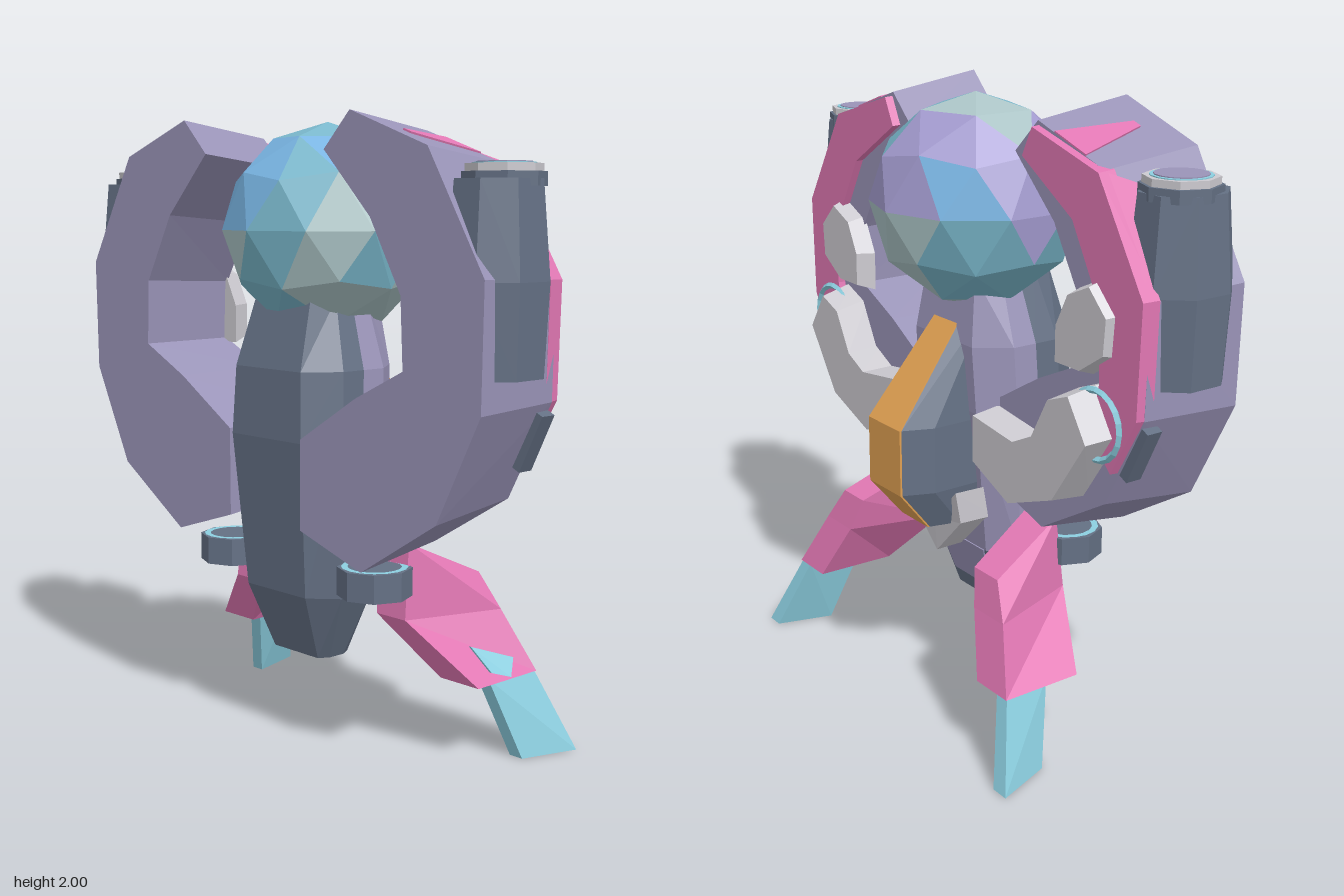
import * as THREE from 'three';

const mat = (name, color, side = THREE.FrontSide) => {
  const m = new THREE.MeshStandardMaterial({ color, flatShading: true, side });
  m.name = name;
  return m;
};

// Flat-faced solid through convex rings of [x, y, z] points, turned outward by its signed volume
function loft(rings) {
  const n = rings[0].length, tris = [];
  for (let r = 0; r < rings.length - 1; r++)
    for (let i = 0; i < n; i++) {
      const j = (i + 1) % n, a = rings[r], b = rings[r + 1];
      tris.push([a[i], a[j], b[j]], [a[i], b[j], b[i]]);
    }
  const first = rings[0], last = rings[rings.length - 1];
  for (let i = 1; i < n - 1; i++) {
    tris.push([first[0], first[i + 1], first[i]], [last[0], last[i], last[i + 1]]);
  }
  let volume = 0;
  const o = new THREE.Vector3(...first[0]), v = p => new THREE.Vector3(...p).sub(o);
  for (const t of tris) volume += v(t[0]).dot(v(t[1]).cross(v(t[2])));
  const pts = tris.flatMap(t => (volume < 0 ? [t[0], t[2], t[1]] : t));
  const g = new THREE.BufferGeometry();
  g.setAttribute('position', new THREE.Float32BufferAttribute(pts.flat(), 3));
  g.computeVertexNormals();
  return g;
}

// Outline in x-y, extruded from z0 to z1
function slab(pts, z0, z1) {
  const shape = new THREE.Shape(pts.map(p => new THREE.Vector2(...p)));
  return new THREE.ExtrudeGeometry(shape, { depth: z1 - z0, bevelEnabled: false }).translate(0, 0, z0);
}

// Shrinks the vertices on one side of a z level about a centre
function taper(g, test, cx, cy, sx, sy) {
  const p = g.attributes.position;
  for (let i = 0; i < p.count; i++)
    if (test(p.getZ(i))) p.setXY(i, cx + (p.getX(i) - cx) * sx, cy + (p.getY(i) - cy) * sy);
  g.computeVertexNormals();
  return g;
}

function mirrored(geo) {
  const g = geo.index ? geo.toNonIndexed() : geo.clone();
  g.scale(-1, 1, 1);
  const p = g.attributes.position, a = new THREE.Vector3(), b = new THREE.Vector3();
  for (let i = 0; i < p.count; i += 3) {
    a.fromBufferAttribute(p, i + 1);
    b.fromBufferAttribute(p, i + 2);
    p.setXYZ(i + 1, b.x, b.y, b.z);
    p.setXYZ(i + 2, a.x, a.y, a.z);
  }
  g.computeVertexNormals();
  return g;
}

export function createModel() {
  const lilac = mat('lilac armour', 0x9a94b8), slate = mat('slate', 0x647084);
  const pink = mat('pink', 0xe278b4), cyan = mat('cyan', 0x8ccfe0, THREE.DoubleSide);
  const grey = mat('light grey', 0xcccad0), orange = mat('orange', 0xe0a052);
  const orbMats = [mat('orb blue', 0x78b4e2), mat('orb teal', 0x7ab8cc),
    mat('orb silver', 0xabc4c6), mat('orb violet', 0xa49cd0)];

  const model = new THREE.Group();
  const add = (name, geo, material) => {
    const m = new THREE.Mesh(geo, material);
    m.name = name;
    model.add(m);
  };
  const pair = (name, geo, material) => {
    add(name + 'Left', geo, material);
    add(name + 'Right', mirrored(geo), material);
  };

  // Faceted orb: each face takes the colour of the nearest patch, [x, y, z, colour]
  const orb = new THREE.IcosahedronGeometry(0.34, 1);
  orb.rotateZ(-Math.atan(2 / (1 + Math.sqrt(5))));
  const patches = [[-0.5, 0.6, 0.6, 3], [-0.2, 0.7, 0.7, 0], [0.1, 0.3, 0.95, 0], [-0.35, 0.2, 0.9, 0],
    [0.4, 0.65, 0.65, 1], [0.7, 0.55, 0.4, 0], [0.45, 0.3, 0.85, 1], [0.85, 0.15, 0.5, 2], [-0.8, 0.2, 0.55, 1],
    [-0.35, -0.25, 0.9, 2], [0.2, -0.2, 0.95, 1], [0.6, -0.3, 0.75, 2], [-0.75, -0.3, 0.6, 1], [0, -0.6, 0.8, 1],
    [0, 0.95, 0.2, 1], [-0.2, 0.95, -0.2, 2], [-0.4, 0.75, -0.5, 3], [0.3, 0.8, -0.45, 1], [0.6, 0.8, 0, 0],
    [0, 0.3, -0.95, 3], [-0.6, 0.3, -0.7, 0], [0.6, 0.3, -0.7, 0], [0, -0.4, -0.9, 2], [-0.7, -0.3, -0.6, 1],
    [0.7, -0.3, -0.6, 2], [1, 0, 0, 1], [-0.95, 0.3, 0, 3], [0, -1, 0, 2]];
  const op = orb.attributes.position, centre = new THREE.Vector3(), corner = new THREE.Vector3();
  for (let i = 0; i < op.count; i += 3) {
    centre.set(0, 0, 0);
    for (let k = 0; k < 3; k++) centre.add(corner.fromBufferAttribute(op, i + k));
    const near = patches.map(([x, y, z, c]) => [corner.set(x, y, z).normalize().dot(centre), c])
      .reduce((a, b) => (b[0] > a[0] ? b : a));
    orb.addGroup(i, 3, near[1]);
  }
  add('orb', orb.translate(0, 1.65, 0.037), orbMats);

  // Body: front shell and back shell, from rows of y, half width, flat half width, front z, back z
  const rows = [
    [0.28, 0.125, 0.105, 0.18, 0.05], [0.5, 0.225, 0.14, 0.265, -0.02],
    [1.0, 0.245, 0.165, 0.305, -0.08], [1.22, 0.235, 0.155, 0.295, -0.09], [1.44, 0.16, 0.13, 0.23, -0.06]];
  const half = (list, front) => loft(list.map(([y, w, f, zf, zb]) => {
    const mid = (zf + zb) / 2, end = front ? zf : zb, cut = mid + (end - mid) * 0.45;
    return [[-w, y, mid], [-w, y, cut], [-f, y, end], [f, y, end], [w, y, cut], [w, y, mid]];
  }));
  add('bodyFront', half(rows, true), slate);
  add('bodyBack', half(rows.slice(1), false), lilac);
  add('bodyBackTip', half(rows.slice(0, 2), false), slate);
  add('bodyBackPanel', loft([[0.34, 0.1, 0.031], [0.5, 0.13, -0.02]].map(([y, w, z]) => [
    [-w, y, z + 0.003], [w, y, z + 0.003], [w, y, z - 0.005], [-w, y, z - 0.005]])), lilac);

  // Back fin with its orange spine strip: y, back z, side half width, spine half width
  const fin = [[1.31, -0.05, 0.1, 0.06], [0.97, -0.315, 0.13, 0.09], [0.75, -0.315, 0.13, 0.09], [0.61, -0.2, 0.1, 0.075]];
  add('fin', loft(fin.map(([y, z, w, s]) => [
    [-w, y, 0], [-w, y, Math.min(-0.005, z + 0.1)], [-s, y, z],
    [s, y, z], [w, y, Math.min(-0.005, z + 0.1)], [w, y, 0]])), slate);
  add('finStrip', loft(fin.map(([y, z, , s]) => [
    [-s, y, z + 0.002], [-s, y, z - 0.007], [s, y, z - 0.007], [s, y, z + 0.002]])), orange);

  // Grey V-shaped clasp under the fin
  pair('finClasp', loft([
    [[0, 0.48, 0], [0, 0.6, 0], [0, 0.6, -0.13], [0, 0.48, -0.12]],
    [[0.16, 0.63, 0], [0.16, 0.74, 0], [0.15, 0.74, -0.15], [0.15, 0.63, -0.13]]]), grey);

  // Curved arms, slightly drawn in toward the back
  const armPts = [[0.39, 2.0], [0.7, 1.89], [0.915, 1.53], [0.908, 1.16], [0.745, 0.835], [0.44, 0.645],
    [0.17, 0.73], [0.17, 1.015], [0.415, 1.165], [0.61, 1.26], [0.6, 1.475], [0.475, 1.695], [0.28, 1.89]];
  pair('arm', taper(slab(armPts, -0.02, 0.312), z => z < 0.1, 0.2, 1.3, 0.965, 0.93), lilac);

  // Pink plate on the back of each arm
  const plate = slab([[0.385, 1.94], [0.69, 1.85], [0.895, 1.52], [0.885, 1.17], [0.78, 0.98],
    [0.68, 1.08], [0.72, 1.24], [0.71, 1.47], [0.58, 1.7], [0.34, 1.85]], -0.048, 0.01);
  pair('armPlate', taper(plate, z => z < -0.03, 0.6, 1.45, 0.98, 0.99), pink);

  // Pink spikes lying on the outer facets of the arm, as thin plates of [t along facet, z]
  const onFacet = (a, b, t, z, lift) => {
    const k = (0.312 - z) / 0.332;
    const [x, y] = [0, 1].map(i => a[i] + (b[i] - a[i]) * t);
    const len = Math.hypot(b[0] - a[0], b[1] - a[1]);
    return [x + (0.2 - x) * 0.035 * k + lift * (a[1] - b[1]) / len,
      y + (1.3 - y) * 0.07 * k + lift * (b[0] - a[0]) / len, z];
  };
  const spike = (i, outline) => loft([-0.003, 0.005].map(lift =>
    outline.map(([t, z]) => onFacet(armPts[i], armPts[i + 1], t, z, lift))));
  pair('topSpike', spike(0, [[0.25, -0.02], [0.72, -0.02], [0.53, 0.225], [0.43, 0.225]]), pink);
  pair('sideSpike', spike(1, [[0.02, -0.02], [0.85, -0.02], [0.35, 0.14], [0.25, 0.14]]), pink);

  // Grey blocks on the inner curve and the bent shoulder links
  const block = slab([[0.53, 1.38], [0.53, 1.25], [0.66, 1.25], [0.78, 1.33], [0.79, 1.46], [0.7, 1.55], [0.59, 1.5]], -0.075, -0.01);
  pair('armBlock', taper(block, z => z < -0.05, 0.65, 1.4, 0.85, 0.85), grey);
  const link = slab([[0.2, 1.03], [0.2, 0.86], [0.4, 0.77], [0.63, 0.86], [0.79, 1.1],
    [0.7, 1.24], [0.6, 1.2], [0.52, 1.05], [0.42, 1.0]], -0.135, 0);
  pair('shoulderLink', taper(link, z => z < -0.1, 0.48, 0.97, 0.92, 0.9), grey);

  // Slate hinge and cyan ring at the foot of the plate
  pair('hinge', new THREE.BoxGeometry(0.1, 0.19, 0.055).rotateZ(-0.45).translate(0.81, 1.07, 0.01), slate);
  pair('hingeRing', new THREE.TorusGeometry(0.105, 0.011, 4, 20).translate(0.725, 1.125, -0.065), cyan);

  // Side pods with capped tops
  const pod = new THREE.LatheGeometry([[0, 1.25], [0.135, 1.25], [0.148, 1.52], [0.125, 1.8], [0, 1.8]]
    .map(p => new THREE.Vector2(...p)), 8).rotateY(Math.PI / 8);
  pair('pod', pod.scale(1, 1, 1.13).translate(0.82, 0, 0.152), slate);
  const disc = (r, h, x, y, z, sides) => new THREE.CylinderGeometry(r, r, h, sides).translate(x, y, z);
  pair('podCollar', disc(0.12, 0.04, 0.825, 1.8, 0.135, 8), slate);
  pair('podCap', disc(0.11, 0.03, 0.825, 1.827, 0.135, 8), grey);
  pair('podRing', disc(0.09, 0.006, 0.825, 1.842, 0.135, 16), cyan);
  pair('podLid', disc(0.079, 0.006, 0.825, 1.845, 0.135, 16), lilac);

  // Thrusters under the arms
  pair('thruster', disc(0.118, 0.09, 0.34, 0.575, 0.155, 8), slate);
  pair('thrusterRing', new THREE.RingGeometry(0.085, 0.105, 16).rotateX(-Math.PI / 2).translate(0.34, 0.622, 0.155), cyan);

  // Legs and feet: sections with front and back edges
  const quad = (x0, x1, zf, yf, bx0, bx1, zb, yb) =>
    [[x0, yf, zf], [x1, yf, zf], [bx1, yb, zb], [bx0, yb, zb]];
  pair('leg', loft([
    quad(0.265, 0.4, 0.065, 0.69, 0.33, 0.45, -0.205, 0.565),
    quad(0.285, 0.41, 0.09, 0.45, 0.37, 0.52, -0.235, 0.45),
    quad(0.46, 0.62, -0.02, 0.255, 0.47, 0.62, -0.296, 0.255)]), pink);
  pair('foot', loft([
    quad(0.53, 0.58, -0.11, 0.258, 0.565, 0.615, -0.29, 0.258),
    quad(0.61, 0.66, -0.185, 0, 0.665, 0.725, -0.376, 0)]), cyan);

  // Cyan inset on the outer face of the left leg only
  add('legInsetLeft', loft([0, 0.009].map(d => [[0.528, 0.36, -0.075], [0.583, 0.31, -0.215],
    [0.614, 0.262, -0.17], [0.594, 0.285, -0.1]].map(([x, y, z]) => [x + d, y, z]))), cyan);

  return model;
}
